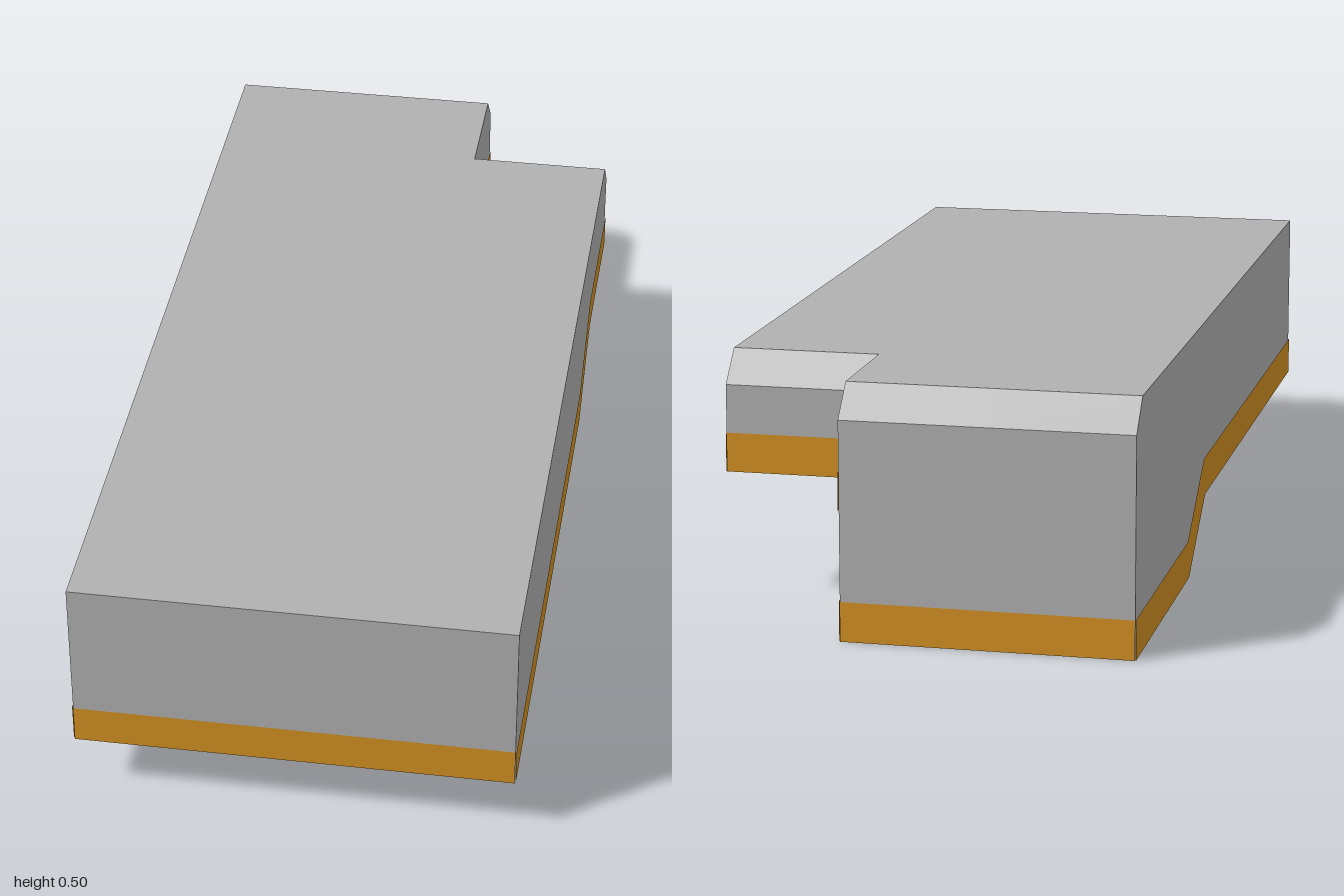
import * as THREE from 'three';

const OFFSET = 0.002; // how far painted faces sit off the shell

export function createModel() {
  const model = new THREE.Group();
  const grey = new THREE.MeshStandardMaterial({ color: 0xb0b0b0 });
  grey.name = 'light grey';
  const orange = new THREE.MeshStandardMaterial({ color: 0xd29022, side: THREE.DoubleSide });
  orange.name = 'orange';

  const add = (name, geometry, material) => {
    const mesh = new THREE.Mesh(geometry, material);
    mesh.name = name;
    model.add(mesh);
    return mesh;
  };

  // Side profile given as [z, y], extruded across x0..x1
  const vectors = (points) => points.map(([z, y]) => new THREE.Vector2(-z, y));
  const slab = (name, points, x0, x1, hole) => {
    const shape = new THREE.Shape(vectors(points));
    if (hole) shape.holes.push(new THREE.Path(vectors(hole)));
    const geometry = new THREE.ExtrudeGeometry(shape, { depth: x1 - x0, bevelEnabled: false });
    geometry.rotateY(Math.PI / 2).translate(x0, 0, 0);
    add(name, geometry, grey);
  };

  // Shallow half, with raised underside at the back
  slab('shallowBody', [
    [1, 0.13], [-0.22, 0.13], [-0.41, 0.262], [-0.75, 0.262],
    [-0.75, 0.44], [-0.69, 0.503], [1, 0.503],
  ], 0.14, 0.44);

  // Deep half, with lowered underside and a recess in its inner side
  const deep = [
    [1, 0.13], [-0.22, 0.13], [-0.41, 0], [-1, 0],
    [-1, 0.44], [-0.94, 0.503], [1, 0.503],
  ];
  const recess = [[-0.43, 0.003], [-0.43, 0.17], [-0.6, 0.17], [-0.6, 0.003]];
  slab('deepBody', deep, -0.44, -0.16);
  slab('recessedBody', deep, -0.16, 0.14, recess);

  // Painted band on a side plane: lower and upper edges as [z, y]
  const sideBand = (name, x, lower, upper) => {
    const shape = new THREE.Shape(vectors([...lower, ...[...upper].reverse()]));
    const geometry = new THREE.ShapeGeometry(shape);
    geometry.rotateY(Math.PI / 2).translate(x, 0, 0);
    add(name, geometry, orange);
  };
  // Painted band across a front or back plane
  const endBand = (name, x0, x1, y, z) => {
    const geometry = new THREE.PlaneGeometry(x1 - x0, 0.08);
    geometry.translate((x0 + x1) / 2, y + 0.04, z);
    add(name, geometry, orange);
  };

  sideBand('leftBand', 0.44 + OFFSET,
    [[1, 0.13], [-0.22, 0.13], [-0.41, 0.262], [-0.75, 0.262]],
    [[1, 0.211], [-0.2, 0.211], [-0.39, 0.338], [-0.75, 0.338]]);
  sideBand('rightBand', -0.44 - OFFSET,
    [[1, 0.13], [-0.22, 0.13], [-0.41, 0], [-1, 0]],
    [[1, 0.211], [-0.24, 0.211], [-0.43, 0.081], [-1, 0.081]]);
  const flatBand = (name, x, z0, z1, y0, y1) =>
    sideBand(name, x, [[z0, y0], [z1, y0]], [[z0, y1], [z1, y1]]);
  flatBand('innerUpperBand', 0.14 + OFFSET, -0.75, -1, 0.262, 0.338);
  flatBand('innerLowerBand', 0.14 + OFFSET, -0.6, -1, 0, 0.081);
  flatBand('recessBand', -0.16 + OFFSET, -0.43, -0.6, 0.003, 0.081);
  endBand('frontBand', -0.44, 0.44, 0.13, 1 + OFFSET);
  endBand('shallowBackBand', 0.14, 0.44, 0.262, -0.75 - OFFSET);
  endBand('deepBackBand', -0.44, 0.14, 0, -1 - OFFSET);

  // Thin lip under the recess, facing down
  const lip = new THREE.PlaneGeometry(0.075, 0.17);
  lip.rotateX(Math.PI / 2).translate(0.1775, 0.001, -0.515);
  add('recessLip', lip, grey);

  // Small ring on the underside
  const ringProfile = [[0.046, 0.13], [0.046, 0.123], [0.06, 0.123], [0.06, 0.13]];
  const ring = add('undersideRing', new THREE.LatheGeometry(
    ringProfile.map(([r, y]) => new THREE.Vector2(r, y)), 20).toNonIndexed(), grey);
  ring.geometry.computeVertexNormals();
  ring.position.set(0.14, 0, -0.08);

  return model;
}
